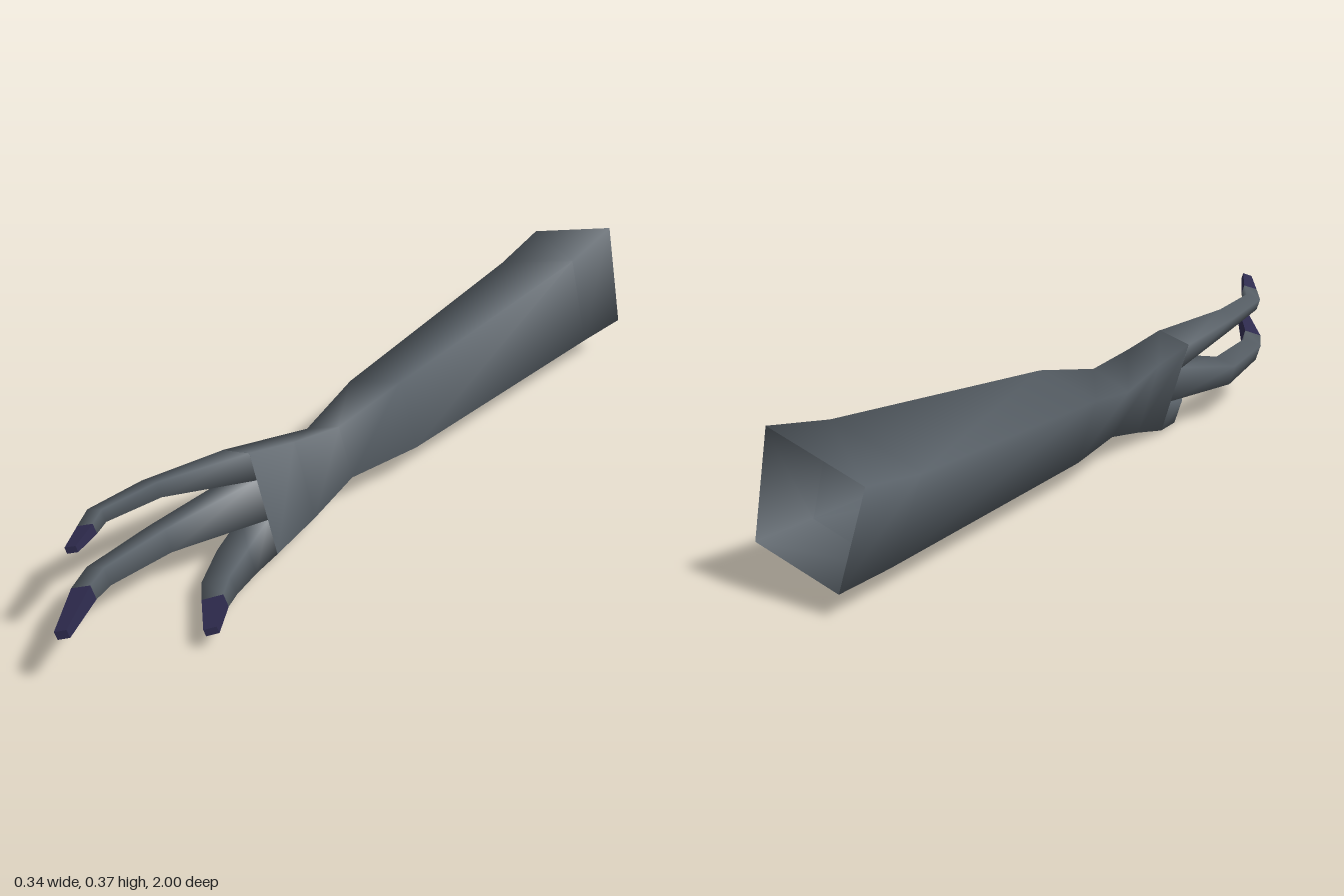
import * as THREE from 'three';

const TILT = 0.3; // roll of every cross-section about the arm's axis

// Four corners (top left, top right, bottom right, bottom left) of a rolled, yawed rectangle
function ring(x, y, z, w, h, yaw = 0) {
  const c = Math.cos(TILT), s = Math.sin(TILT);
  return [[-1, 1], [1, 1], [1, -1], [-1, -1]].map(([i, j]) => {
    const a = (i * w) / 2, b = (j * h) / 2;
    const across = a * c - b * s;
    return [x + across * Math.cos(yaw), y + a * s + b * c, z - across * Math.sin(yaw)];
  });
}

// Skin joining successive four-cornered rings, with an optional end face
function loft(rings, { cap = false, flat = false } = {}) {
  const index = [];
  for (let r = 0; r < rings.length - 1; r++) {
    for (let k = 0; k < 4; k++) {
      const a = r * 4 + k, b = r * 4 + ((k + 1) % 4);
      index.push(a, a + 4, b + 4, a, b + 4, b);
    }
  }
  if (cap) {
    const e = (rings.length - 1) * 4;
    index.push(e, e + 3, e + 2, e, e + 2, e + 1);
  }
  let geo = new THREE.BufferGeometry();
  geo.setAttribute('position', new THREE.Float32BufferAttribute(rings.flat(2), 3));
  geo.setIndex(index);
  if (flat) geo = geo.toNonIndexed();
  geo.computeVertexNormals();
  return geo;
}

export function createModel() {
  const model = new THREE.Group();
  model.name = 'clawedArm';
  const skin = new THREE.MeshStandardMaterial({ color: 0x596168, side: THREE.DoubleSide });
  skin.name = 'greySkin';
  const nail = new THREE.MeshStandardMaterial({ color: 0x2e2b4e });
  nail.name = 'darkClaw';

  const add = (parent, name, geo, mat) => {
    const mesh = new THREE.Mesh(geo, mat);
    mesh.name = name;
    parent.add(mesh);
  };

  // Forearm, open at the back, narrowing to the wrist and spreading into the palm
  add(model, 'forearmAndPalm', loft([
    [[-0.175, 0.30, -1], [0.062, 0.377, -1], [0.127, 0.122, -0.98], [-0.082, 0.058, -0.98]],
    [[-0.165, 0.27, -0.82], [0.06, 0.342, -0.82], [0.117, 0.12, -0.82], [-0.08, 0.055, -0.82]],
    [[-0.12, 0.225, -0.1], [0.035, 0.276, -0.1], [0.088, 0.112, -0.1], [-0.07, 0.064, -0.1]],
    [[-0.09, 0.192, 0.1], [0.01, 0.236, 0.1], [0.05, 0.11, 0.1], [-0.045, 0.069, 0.1]],
    ring(-0.022, 0.148, 0.24, 0.095, 0.195),
    ring(-0.03, 0.146, 0.37, 0.09, 0.255),
  ]), skin);

  // Each finger starts on its share of the palm's edge; the last two rings are its claw
  const fingers = {
    upperFinger: [
      [-0.058, 0.235, 0.37, 0.09, 0.067],
      [-0.1, 0.272, 0.6, 0.05, 0.036],
      [-0.098, 0.288, 0.76, 0.04, 0.03, 0.2],
      [-0.06, 0.301, 0.82, 0.036, 0.025, 0.5],
      [-0.01, 0.321, 0.905, 0.025, 0.015, 0.5],
    ],
    middleFinger: [
      [-0.033, 0.156, 0.37, 0.09, 0.1],
      [-0.1, 0.132, 0.59, 0.06, 0.056],
      [-0.088, 0.147, 0.78, 0.05, 0.044, 0.2],
      [-0.056, 0.157, 0.85, 0.045, 0.036, 0.5],
      [0.038, 0.183, 0.99, 0.028, 0.02, 0.55],
    ],
    thumb: [
      [-0.005, 0.066, 0.37, 0.09, 0.087],
      [0.008, 0.047, 0.46, 0.082, 0.065, 0.3],
      [0.05, 0.052, 0.56, 0.066, 0.05, 0.6],
      [0.085, 0.057, 0.61, 0.05, 0.035, 0.7],
      [0.154, 0.066, 0.693, 0.03, 0.018, 0.7],
    ],
  };
  for (const [name, rows] of Object.entries(fingers)) {
    const finger = new THREE.Group();
    finger.name = name;
    const rings = rows.map((row) => ring(...row));
    add(finger, name + 'Flesh', loft(rings.slice(0, -1)), skin);
    add(finger, name + 'Claw', loft(rings.slice(-2), { cap: true, flat: true }), nail);
    model.add(finger);
  }
  return model;
}
